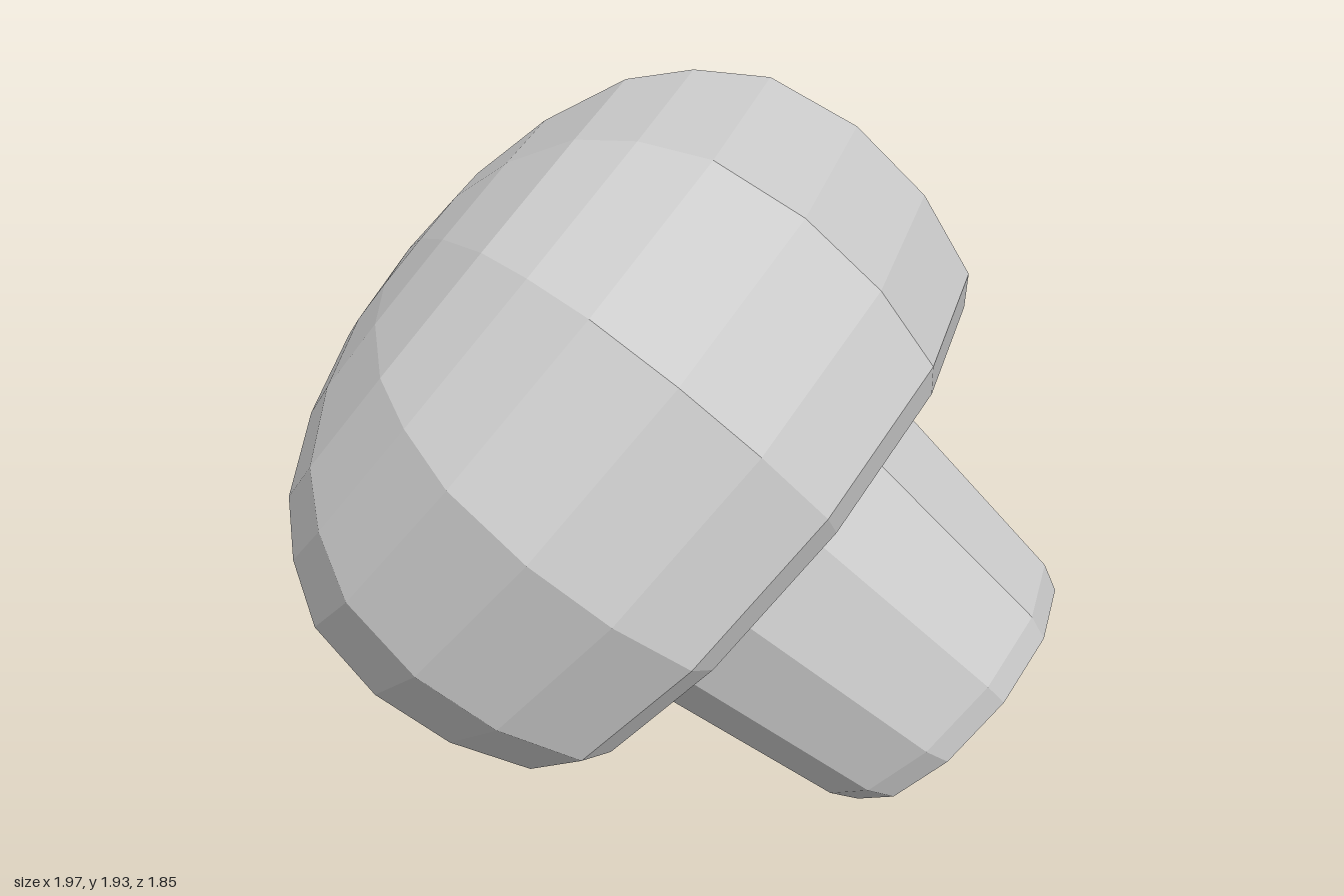
import * as THREE from 'three';

const SIDES = 12;

// Slightly oval, skewed cross-section shared by cap and stem
const oval = new THREE.Matrix4().makeBasis(
  new THREE.Vector3(1.01, 0, 0), new THREE.Vector3(0, 1, 0), new THREE.Vector3(0.06, 0, 0.94));

// Low-poly part from [radius, height] pairs, listed bottom to top
function turned(name, profile) {
  const points = profile.map(([r, h]) => new THREE.Vector2(r, h));
  const geometry = new THREE.LatheGeometry(points, SIDES).applyMatrix4(oval);
  const material = new THREE.MeshStandardMaterial({ color: 0xcccccc, flatShading: true });
  const mesh = new THREE.Mesh(geometry, material);
  mesh.name = name;
  return mesh;
}

export function createModel() {
  const mushroom = new THREE.Group();
  mushroom.name = 'mushroom';

  // Domed cap: shallow underside, bevelled rim, rounded crown
  mushroom.add(turned('cap', [
    [0.5, -0.03], [0.64, -0.005], [0.82, 0], [0.89, 0.05], [0.965, 0.26], [0.985, 0.49],
    [0.94, 0.72], [0.835, 0.87], [0.71, 0.98], [0.5, 1.07], [0.28, 1.12], [0, 1.14],
  ]));

  // Tapered stem with a bevelled, faintly domed foot
  mushroom.add(turned('stem', [
    [0, -0.715], [0.405, -0.7], [0.44, -0.63], [0.525, -0.03],
  ]));

  // Lay the mushroom over on its side, resting on rim and foot
  const up = new THREE.Vector3(-0.7475, 0.596, -0.293).normalize();
  const across = new THREE.Vector3(0.505, 0.67, 0.05);
  across.addScaledVector(up, -across.dot(up)).normalize();
  const side = new THREE.Vector3().crossVectors(across, up);
  mushroom.quaternion.setFromRotationMatrix(new THREE.Matrix4().makeBasis(across, up, side));
  mushroom.position.set(0.205, 0.74, 0.12);

  const model = new THREE.Group();
  model.add(mushroom);
  return model;
}
